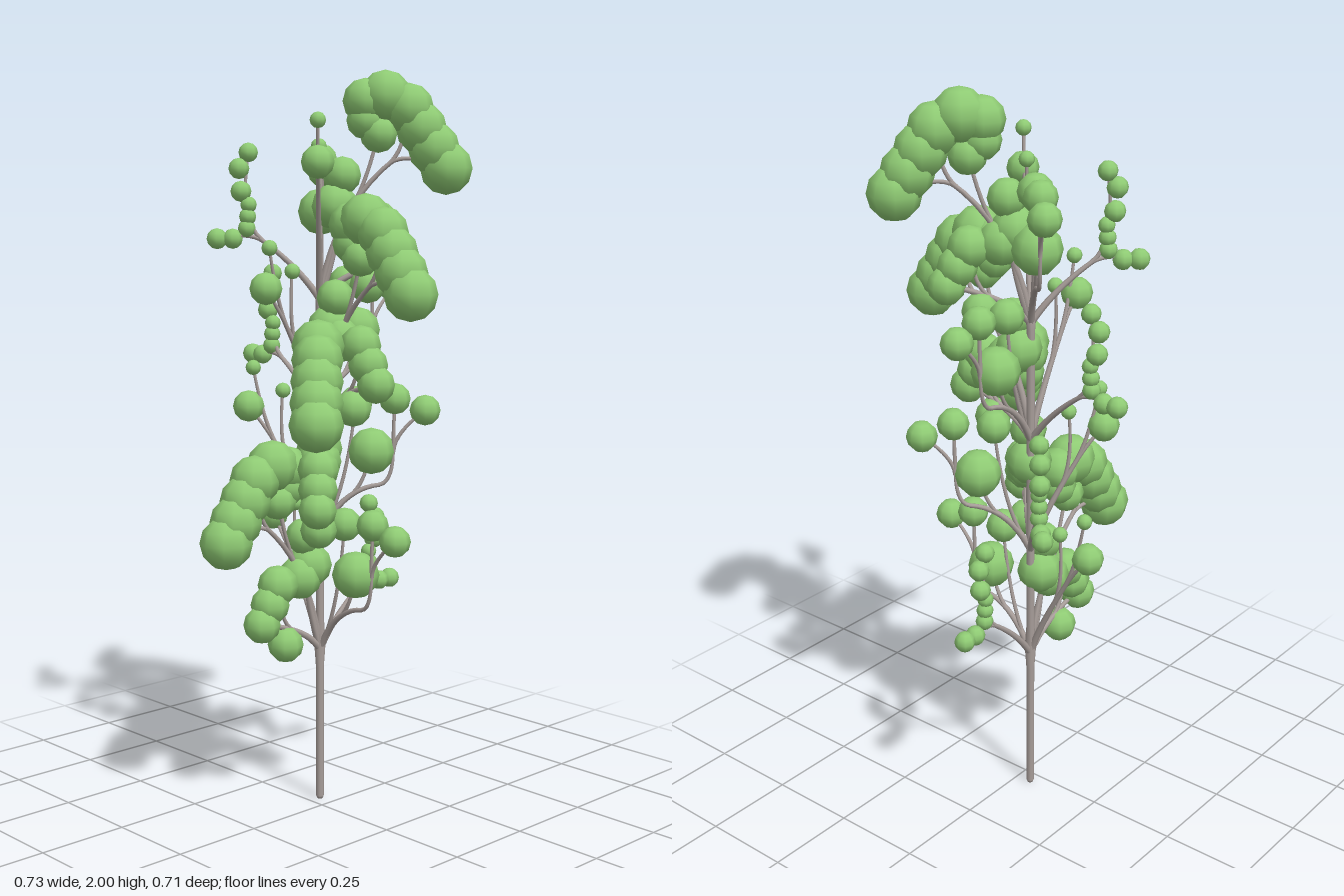
import * as THREE from 'three';

const bark = new THREE.MeshStandardMaterial({ color: 0xa89e9a });
const leaf = new THREE.MeshStandardMaterial({ color: 0x8fcb74 });

// Foliage ball in the limb's plane
function ball(limb, x, y, r) {
  const mesh = new THREE.Mesh(new THREE.SphereGeometry(r, 8, 6), leaf);
  mesh.name = 'foliageBall';
  mesh.position.set(x, y, 0);
  limb.add(mesh);
}

// Evenly spaced row of n balls, growing from radius r0 to r1
function ballRow(limb, n, x0, y0, r0, x1, y1, r1) {
  for (let i = 0; i < n; i++) {
    const t = i / (n - 1), mix = THREE.MathUtils.lerp;
    ball(limb, mix(x0, x1, t), mix(y0, y1, t), mix(r0, r1, t));
  }
}

// Tube along a curve, tapering from radius r0 to r1
function taper(limb, curve, r0, r1) {
  const rings = 10, sides = 7;
  const geo = new THREE.TubeGeometry(curve, rings, 1, sides);
  const pos = geo.attributes.position, v = new THREE.Vector3();
  for (let i = 0; i < pos.count; i++) {
    const t = Math.floor(i / (sides + 1)) / rings;
    const c = curve.getPointAt(t);
    v.fromBufferAttribute(pos, i).sub(c).multiplyScalar(r0 + (r1 - r0) * t).add(c);
    pos.setXYZ(i, v.x, v.y, v.z);
  }
  const mesh = new THREE.Mesh(geo, bark);
  mesh.name = 'branch';
  limb.add(mesh);
  return curve;
}

// Main bough rising from the trunk, bending toward (bx, by)
function bough(limb, bx, by, x, y) {
  const curve = new THREE.QuadraticBezierCurve3(
    new THREE.Vector3(0, 0.43, 0), new THREE.Vector3(bx, by, 0), new THREE.Vector3(x, y, 0));
  return taper(limb, curve, 0.01, 0.006);
}

// Twig leaving a parent along its direction, then bending to its tip ball
function twig(limb, parent, t, x, y, r = 0) {
  const start = parent.getPointAt(t), tip = new THREE.Vector3(x, y, 0);
  const bend = parent.getTangentAt(t).multiplyScalar(0.35 * start.distanceTo(tip)).add(start);
  if (r > 0) ball(limb, x, y, r);
  return taper(limb, new THREE.QuadraticBezierCurve3(start, bend, tip), 0.006, 0.004);
}

// Thin limb with a string of small balls
function slenderLimb(limb) {
  const main = bough(limb, 0.06, 0.52, 0.16, 0.59);
  twig(limb, main, 0.95, 0.275, 0.59, 0.028);
  twig(limb, main, 0.95, 0.19, 0.817, 0.026);
  ball(limb, 0.233, 0.59, 0.027);
  ballRow(limb, 3, 0.195, 0.617, 0.024, 0.19, 0.68, 0.022);
  ballRow(limb, 2, 0.21, 0.715, 0.028, 0.215, 0.775, 0.028);
}

// Steep limb with three separate balls
function sparseLimb(limb) {
  const main = bough(limb, 0.03, 0.53, 0.13, 0.7);
  twig(limb, main, 0.95, 0.193, 0.785, 0.043);
  twig(limb, main, 0.65, 0.1, 0.828, 0.021);
  twig(limb, main, 0.9, 0.18, 0.89, 0.021);
}

// Heavy limb: a low bough, an upright shoot and a drooping leafy crown
function denseLimb(limb) {
  const low = bough(limb, 0.05, 0.5, 0.213, 0.536);
  twig(limb, low, 0.4, 0.128, 0.467, 0.049);
  twig(limb, low, 0.5, 0.155, 0.635);
  ballRow(limb, 3, 0.213, 0.536, 0.05, 0.155, 0.635, 0.055);

  bough(limb, 0.06, 0.6, 0.06, 0.757);
  ball(limb, 0.06, 0.757, 0.05);
  ballRow(limb, 2, 0.075, 0.645, 0.06, 0.04, 0.675, 0.062);

  const high = bough(limb, 0.04, 0.68, 0.2, 0.8);
  twig(limb, high, 0.95, 0.335, 0.775);
  twig(limb, high, 0.95, 0.235, 0.93);
  twig(limb, high, 0.6, 0.173, 0.962);
  ballRow(limb, 4, 0.335, 0.775, 0.07, 0.235, 0.93, 0.067);
  ballRow(limb, 2, 0.173, 0.962, 0.069, 0.12, 0.95, 0.06);
  ballRow(limb, 2, 0.155, 0.865, 0.05, 0.12, 0.9, 0.05);
}

// Wide limb that turns upward and forks
function spreadingLimb(limb) {
  const main = bough(limb, 0.06, 0.56, 0.165, 0.57);
  const rise = twig(limb, main, 0.98, 0.2, 0.68);
  twig(limb, rise, 0.85, 0.285, 0.775, 0.042);
  twig(limb, rise, 0.95, 0.203, 0.806, 0.043);
  twig(limb, main, 0.6, 0.14, 0.663, 0.064);
  twig(limb, main, 0.15, 0.097, 0.795, 0.046);
}

export function createModel() {
  const tree = new THREE.Group();
  tree.name = 'tree';
  const body = new THREE.Group();
  body.name = 'treeBody';
  body.position.set(0.035, 0, -0.045);
  tree.add(body);

  // Trunk, swelling slightly where the crown starts
  const profile = [[0, 0], [0.008, 0], [0.011, 0.008], [0.011, 0.38], [0.016, 0.45],
    [0.011, 0.52], [0.011, 1.38], [0.014, 1.42], [0, 1.45]];
  const trunk = new THREE.Mesh(
    new THREE.LatheGeometry(profile.map(([r, y]) => new THREE.Vector2(r, y)), 8), bark);
  trunk.name = 'trunk';
  body.add(trunk);

  // Four tiers of four limbs, each tier turned an eighth of a circle
  const makers = [slenderLimb, sparseLimb, denseLimb, spreadingLimb];
  for (let k = 0; k < 4; k++) {
    const tier = new THREE.Group();
    tier.name = 'tier' + (k + 1);
    tier.position.y = 0.3225 * k;
    tier.rotation.y = k * Math.PI / 4;
    makers.forEach((make, i) => {
      const limb = new THREE.Group();
      limb.name = make.name;
      limb.rotation.y = i * Math.PI / 2;
      make(limb);
      tier.add(limb);
    });
    body.add(tier);
  }
  return tree;
}
